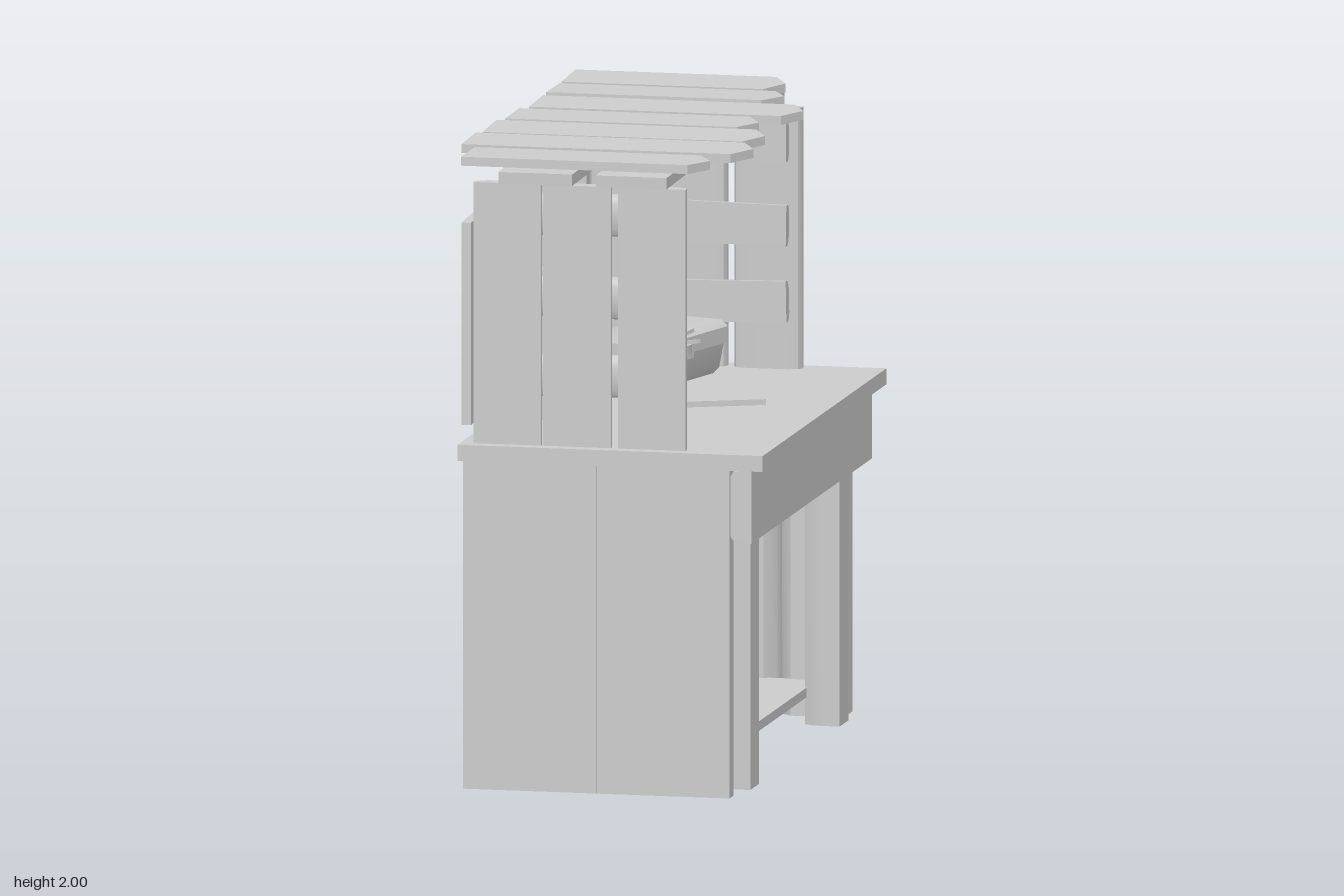
import * as THREE from 'three';
import { toCreasedNormals } from 'three/addons/utils/BufferGeometryUtils.js';

const mat = new THREE.MeshStandardMaterial({ color: 0xcccccc, side: THREE.DoubleSide });

export function createModel() {
  const root = new THREE.Group();

  const add = (name, geo, x = 0, y = 0, z = 0, parent = root) => {
    const m = new THREE.Mesh(geo, mat);
    m.name = name;
    m.position.set(x, y, z);
    parent.add(m);
    return m;
  };
  const group = (name, x, y, z, yaw) => {
    const g = new THREE.Group();
    g.name = name;
    g.position.set(x, y, z);
    g.rotation.y = yaw;
    root.add(g);
    return g;
  };
  // box given by its ranges
  const block = (name, x0, x1, y0, y1, z0, z1) =>
    add(name, new THREE.BoxGeometry(x1 - x0, y1 - y0, z1 - z0), (x0 + x1) / 2, (y0 + y1) / 2, (z0 + z1) / 2);
  const points = pts => pts.map(p => new THREE.Vector2(...p));
  const shapeOf = pts => new THREE.Shape(points(pts));
  const extrude = (shape, depth) =>
    toCreasedNormals(new THREE.ExtrudeGeometry(shape, { depth, bevelEnabled: false }), 0.7);
  // sawn slab: flat outer face (+y of the profile), chamfered inner face
  const slab = (w, t, length) => extrude(shapeOf([
    [-0.3, -0.5], [0.3, -0.5], [0.46, -0.25], [0.5, 0.1], [0.5, 0.5], [-0.5, 0.5], [-0.5, 0.1], [-0.46, -0.25],
  ].map(([a, b]) => [a * w, b * t])), length);

  // ---- bench ----
  block('tabletop', -0.46, 0.51, 1.03, 1.08, -0.86, 0.86);
  block('lowerShelf', -0.38, 0.32, 0.085, 0.115, -0.74, 0.74);
  add('frontApron', slab(0.23, 0.08, 1.67).rotateZ(-Math.PI / 2), 0.43, 0.915, -0.83);
  const sidePlank = slab(0.211, 0.125, 1.03).rotateX(-Math.PI / 2);
  const leg = slab(0.122, 0.115, 1.03).rotateX(-Math.PI / 2).rotateY(-Math.PI / 2);
  const wallPlank = slab(0.215, 0.045, 0.82).rotateX(-Math.PI / 2);
  for (const s of [-1, 1]) {
    const turn = s > 0 ? Math.PI : 0;
    for (let i = 0; i < 4; i++)
      add('sidePlank', sidePlank, -0.338 + i * 0.212, 0, s * 0.7925).rotation.y = turn;
    add('frontLeg', leg, 0.3725, 0, s * 0.62);

    // upper side wall with inner battens
    for (const x of [-0.312, -0.09, 0.148])
      add('wallPlank', wallPlank, x, 1.08, s * 0.795).rotation.y = turn;
    [1.285, 1.545, 1.795].forEach((y, i) => {
      const batten = slab(0.13, 0.042, 0.62).rotateY(Math.PI / 2).rotateX(-s * Math.PI / 2);
      add('batten', batten, -0.4, y, s * 0.753).rotation.z = [0.02, -0.015, 0.01][i];
    });
  }

  // ---- back panel, in z / y ----
  const toSide = g => g.rotateY(-Math.PI / 2);
  add('backPanel', toSide(extrude(shapeOf([[-0.83, 1.21], [0.84, 1.14], [0.84, 1.775], [-0.83, 1.84]]), 0.03)), -0.422);

  // ---- roof ----
  const slope = 0.017;
  for (const [x, w] of [[-0.222, 0.235], [0.083, 0.225]])
    add('roofBeam', new THREE.BoxGeometry(w, 0.036, 1.64), x, 1.931, 0).rotation.x = slope;
  const roof = [[-0.66, -0.455, 0.235], [-0.445, -0.455, 0.28], [-0.21, -0.455, 0.395], [0.015, -0.48, 0.305],
    [0.24, -0.5, 0.375], [0.465, -0.515, 0.39], [0.695, -0.465, 0.305]];
  roof.forEach(([z, x0, x1], i) => {
    const h = 0.097, tip = 0.05;
    const g = extrude(shapeOf([[x0, -h], [x1 - tip, -h], [x1, 0], [x1 - tip, h], [x0, h]]), 0.028);
    g.rotateX(-Math.PI / 2);
    add('roofPlank', g, 0, 1.957 - z * slope, z).rotation.x = slope + [0.02, -0.03, 0.01, -0.01, 0.02, 0.01, -0.02][i];
  });

  // ---- inner shelf ----
  block('shelfDivider', -0.42, -0.17, 1.08, 1.91, 0.325, 0.338);
  block('upperShelf', -0.42, -0.17, 1.608, 1.622, 0.335, 0.775);

  // open container made from four walls and a floor
  const tray = (name, x, y, z, yaw, w, l, h, handles) => {
    const g = group(name, x, y, z, yaw);
    const side = (len, cut) => {
      const s = shapeOf([[-len * 0.47, 0], [len * 0.47, 0], [len / 2, h], [-len / 2, h]]);
      if (cut) s.holes.push(new THREE.Path(points([[-0.07, 0.135], [-0.07, 0.185], [0.07, 0.185], [0.07, 0.135]])));
      return extrude(s, 0.015);
    };
    for (const k of [0, 1]) {
      const dir = k ? -1 : 1;
      const a = add('longWall', side(l, handles), dir * (w / 2 - 0.018), 0, 0, g);
      a.rotation.y = Math.PI / 2 + k * Math.PI;
      const b = add('shortWall', side(w), 0, 0, dir * (l / 2 - 0.018), g);
      b.rotation.y = k * Math.PI;
    }
    add('floor', new THREE.BoxGeometry(w * 0.94, 0.012, l * 0.94), 0, 0.006, 0, g);
  };
  tray('crate', 0.035, 0.115, 0.315, 0.25, 0.28, 0.43, 0.225, true);
  tray('smallBox', -0.29, 1.622, 0.6, 0.25, 0.14, 0.23, 0.12);
  const lathe = (pts, sides) => toCreasedNormals(new THREE.LatheGeometry(points(pts), sides), 0.6);
  add('cup', lathe([[0, 0], [0.042, 0], [0.048, 0.07], [0.04, 0.07], [0.036, 0.01], [0, 0.01]], 16), -0.26, 1.622, 0.43);

  // ---- camping burner ----
  const burner = group('burner', 0.1, 1.08, 0.495, 0);
  add('canister', lathe([[0, 0], [0.06, 0], [0.066, 0.02], [0.075, 0.07], [0.078, 0.14], [0.068, 0.165], [0.055, 0.18],
    [0.055, 0.22], [0.06, 0.235], [0.1, 0.25], [0.1, 0.28], [0.03, 0.285], [0, 0.285]], 16), 0, 0, 0, burner);
  for (let i = 0; i < 4; i++) {
    const arm = add('potArm', new THREE.BoxGeometry(0.12, 0.012, 0.014).translate(0.1, 0, 0), 0, 0.275, 0, burner);
    arm.rotation.set(0, 1.1 + i * Math.PI / 2, 0.18);
  }
  const bar = new THREE.CatmullRomCurve3([[0.03, 0.15, -0.06], [0.03, 0.155, -0.09], [0.03, 0.135, -0.1], [0.03, 0.05, -0.09]]
    .map(p => new THREE.Vector3(...p)));
  add('burnerHandle', new THREE.TubeGeometry(bar, 10, 0.014, 6), 0, 0, 0, burner);

  // ---- hammer, lying on the table ----
  const hammer = group('hammer', 0.02, 1.1, 0.05, 0.42);
  add('hammerHandle', new THREE.BoxGeometry(0.31, 0.018, 0.036), 0.155, -0.005, 0, hammer);
  add('hammerHead', new THREE.BoxGeometry(0.055, 0.036, 0.15), 0, 0, 0, hammer);

  // ---- toolbox ----
  const toolbox = group('toolbox', -0.15, 1.08, -0.41, -0.28);
  const body = shapeOf([[-0.085, 0], [0.085, 0], [0.105, 0.02], [0.122, 0.1], [-0.122, 0.1], [-0.105, 0.02]]);
  add('toolboxBody', extrude(body, 0.55), 0, 0, -0.275, toolbox);
  const lid = shapeOf([[-0.13, 0], [0.13, 0], [0.13, 0.05], [0.105, 0.07], [-0.105, 0.07], [-0.13, 0.05]]);
  add('toolboxLid', extrude(lid, 0.57), 0, 0.1, -0.285, toolbox);
  add('latch', new THREE.BoxGeometry(0.02, 0.028, 0.11), 0.127, 0.098, 0, toolbox);
  for (const s of [-1, 1]) add('handlePost', new THREE.BoxGeometry(0.024, 0.08, 0.018), 0, 0.205, s * 0.072, toolbox);
  add('handleGrip', new THREE.BoxGeometry(0.028, 0.02, 0.165), 0, 0.245, 0, toolbox);

  // ---- tools hanging on the back panel ----
  const blade = [[0.145, 1.66], [0.04, 1.66], [0.022, 1.45], [0.025, 1.21], [0.06, 1.205]];
  for (let i = 0; i <= 14; i++) {
    const t = i / 14;
    blade.push([0.085 + 0.09 * t + (i % 2 ? 0.014 : 0), 1.22 + 0.4 * t]);
  }
  add('sawBlade', toSide(extrude(shapeOf(blade), 0.01)), -0.4);
  const grip = shapeOf([[0.02, 1.67], [0.09, 1.645], [0.155, 1.66], [0.15, 1.7], [0.16, 1.765], [0.13, 1.765],
    [0.03, 1.78], [0.015, 1.74]]);
  grip.holes.push(new THREE.Path(points([[0.05, 1.69], [0.05, 1.745], [0.13, 1.74], [0.125, 1.69]])));
  add('sawHandle', toSide(extrude(grip, 0.03)), -0.39);
  add('screwdriverHandle', lathe([[0, 1.545], [0.012, 1.55], [0.017, 1.58], [0.026, 1.68], [0.018, 1.71],
    [0.024, 1.75], [0, 1.77]], 10), -0.39, 0, -0.14);
  add('screwdriverShaft', new THREE.CylinderGeometry(0.007, 0.007, 0.25, 8), -0.39, 1.43, -0.14);
  for (const [y, z] of [[1.72, 0.09], [1.745, -0.14], [1.745, -0.28], [1.745, -0.4]])
    add('peg', new THREE.CylinderGeometry(0.024, 0.024, 0.07, 6).rotateZ(Math.PI / 2), -0.39, y, z);

  return root;
}
